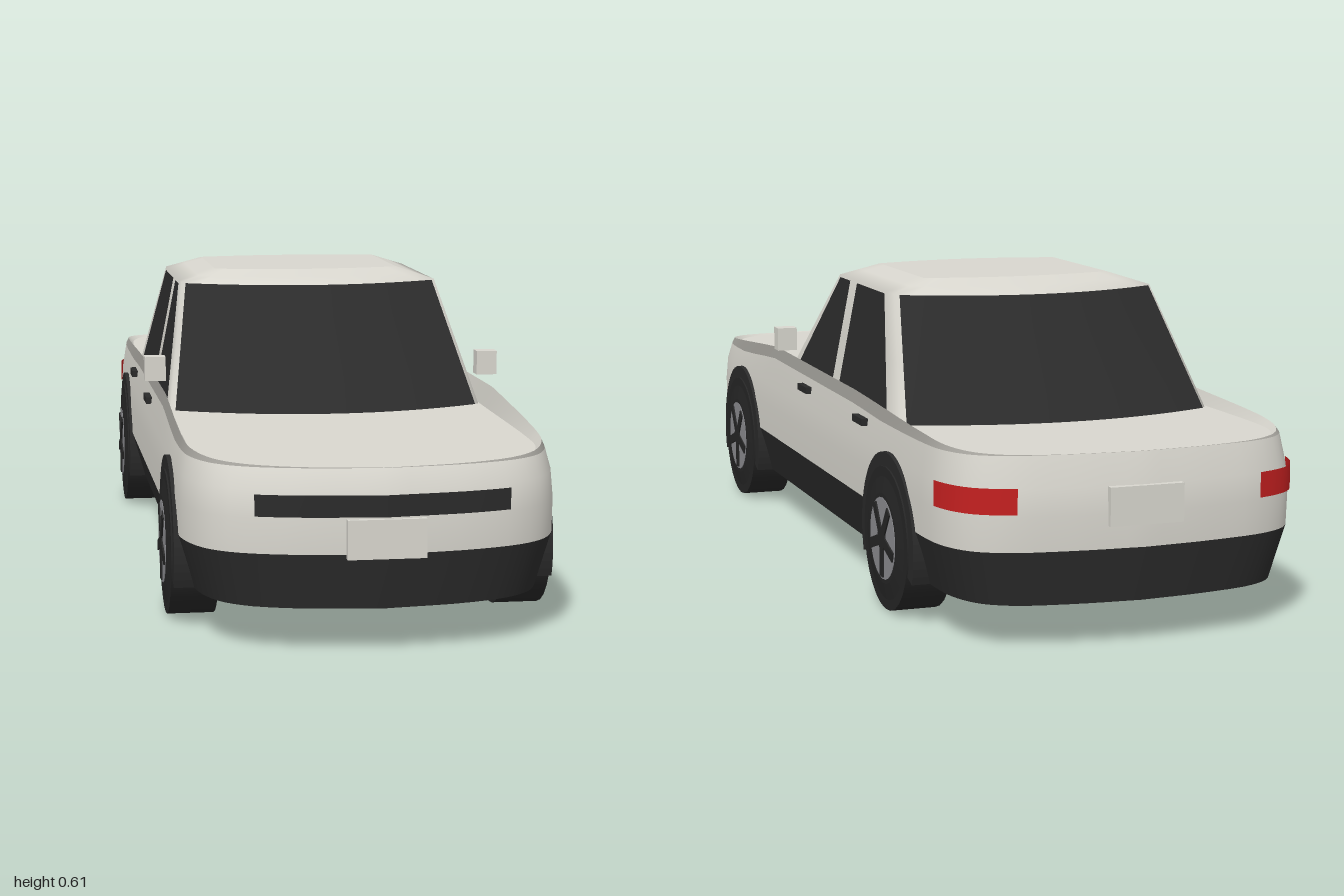
import * as THREE from 'three';

const mat = (name, color, side = THREE.FrontSide) => {
  const m = new THREE.MeshStandardMaterial({ color, side });
  m.name = name;
  return m;
};
const V = (x, y, z) => new THREE.Vector3(x, y, z);
const lerp = THREE.MathUtils.lerp;

// Surface through rows of points: each row runs left to right seen from outside, rows go upward
function loft(rows, closed = false) {
  const n = rows[0].length, pos = [], idx = [];
  rows.forEach(r => r.forEach(p => pos.push(p.x, p.y, p.z)));
  for (let i = 0; i < rows.length - 1; i++) {
    for (let j = 0; j < (closed ? n : n - 1); j++) {
      const k = (j + 1) % n, a = i * n + j, b = i * n + k;
      idx.push(a, b, b + n, a, b + n, a + n);
    }
  }
  const g = new THREE.BufferGeometry();
  g.setAttribute('position', new THREE.Float32BufferAttribute(pos, 3));
  g.setIndex(idx);
  g.computeVertexNormals();
  return g;
}

// Flat fan closing a ring, facing up or down
function cap(ring, up = true) {
  const c = ring.reduce((s, p) => s.add(p), V(0, 0, 0)).divideScalar(ring.length);
  return loft(up ? [ring, ring.map(() => c)] : [ring.map(() => c), ring], true);
}

const grid = (f, nu, nv) => Array.from({ length: nv + 1 }, (_, j) =>
  Array.from({ length: nu + 1 }, (_, i) => f(i / nu, j / nv)));
const mirrorRows = rows => rows.map(r => r.map(p => V(-p.x, p.y, p.z)).reverse());

// Half plan outline of the body, from nose centre along the left side to tail centre
const plan = new THREE.CatmullRomCurve3([
  [0, 1], [0.5, 0.975], [0.78, 0.935], [0.91, 0.885], [0.98, 0.815], [1, 0.73], [1, 0.35], [1, 0],
  [1, -0.4], [1, -0.78], [0.975, -0.86], [0.9, -0.92], [0.74, -0.962], [0.4, -0.988], [0, -1],
].map(([x, z]) => V(x, 0, z))).getPoints(56);

// Closed outline at half width w and half lengths zf, zr; y is a number or a rule of z
function outline(y, w, zf, zr) {
  const half = plan.map(p => {
    const z = p.z * (p.z > 0 ? zf : zr);
    return V(p.x * w, typeof y === 'number' ? y : y(z), z);
  });
  return [...half, ...half.slice(1, -1).reverse().map(p => V(-p.x, p.y, p.z))];
}

const deckY = z => lerp(0.358, 0.337, (z + 0.97) / 1.94);
const beltLine = [[-0.97, 0.357], [-0.75, 0.371], [-0.3, 0.385], [0.35, 0.389], [0.97, 0.337]];
function beltY(z) {
  for (let i = 1; i < beltLine.length; i++) {
    const [z0, y0] = beltLine[i - 1], [z1, y1] = beltLine[i];
    if (z <= z1) return Math.max(deckY(z), lerp(y0, y1, Math.max(0, (z - z0) / (z1 - z0))));
  }
  return 0.337;
}
const wallY = z => Math.max(deckY(z), beltY(z) - 0.026);

// Cabin section: front and rear edges bow outward from the side corners
const base = { y: 0.335, w: 0.326, fc: 0.382, fs: 0.287, rc: -0.632, rs: -0.557 };
const eave = { y: 0.585, w: 0.277, fc: 0.115, fs: 0.03, rc: -0.44, rs: -0.36 };
const crown = { y: 0.61, w: 0.2, fc: 0.025, fs: -0.01, rc: -0.345, rs: -0.315 };
const mix = (a, b, t) => Object.fromEntries(Object.keys(a).map(k => [k, lerp(a[k], b[k], t)]));
const frontPt = (s, u, d = 0) => V(u * s.w, s.y + d * 0.6, lerp(s.fc, s.fs, u * u) + d);
const rearPt = (s, u, d = 0) => V(-u * s.w, s.y + d * 0.6, lerp(s.rc, s.rs, u * u) - d);
function cabinRing(s) {
  const r = [];
  for (let i = 0; i <= 16; i++) r.push(frontPt(s, i / 8 - 1));
  for (let i = 1; i < 8; i++) r.push(V(s.w, s.y, lerp(s.fs, s.rs, i / 8)));
  for (let i = 0; i <= 16; i++) r.push(rearPt(s, i / 8 - 1));
  for (let i = 1; i < 8; i++) r.push(V(-s.w, s.y, lerp(s.rs, s.fs, i / 8)));
  return r;
}

export function createModel() {
  const car = new THREE.Group();
  car.name = 'car';
  const paint = mat('body paint', 0xd8d6ce);
  const trim = mat('dark lower trim', 0x2a2a2a);
  const glass = mat('dark glass', 0x2b2b2b, THREE.DoubleSide);
  const belt = mat('grey belt line', 0xa09e98, THREE.DoubleSide);
  const rubber = mat('tyre rubber', 0x262626);
  const metal = mat('wheel metal', 0x8c8c90);
  const red = mat('tail light red', 0xc42020, THREE.DoubleSide);
  const add = (name, geo, m, parent = car) => {
    const mesh = new THREE.Mesh(geo, m);
    mesh.name = name;
    parent.add(mesh);
    return mesh;
  };
  const box = (name, m, size, at, parent) =>
    add(name, new THREE.BoxGeometry(...size), m, parent).position.set(...at);

  // Lower body and floor
  const floor = outline(0.083, 0.326, 0.98, 0.975);
  const sill = outline(0.185, 0.355, 0.995, 0.99);
  add('lowerBody', loft([floor, sill], true), trim);
  add('floor', cap(floor, false), trim);

  // Upper body, raised belt line and the flat deck between
  const shoulder = outline(wallY, 0.345, 0.968, 0.972);
  const ridge = outline(beltY, 0.339, 0.966, 0.97);
  const deck = outline(deckY, 0.328, 0.964, 0.968);
  add('upperBody', loft([sill, outline(0.25, 0.356, 0.997, 0.993),
    outline(0.3, 0.353, 0.988, 0.988), shoulder], true), paint);
  add('beltLine', loft([shoulder, ridge], true), belt);
  add('beltInside', loft([ridge, deck], true), paint);
  add('hoodAndTrunk', cap(deck), paint);

  // Cabin shell and roof
  const crownRing = cabinRing(crown);
  add('cabin', loft([base, mix(base, eave, 0.5), eave, mix(eave, crown, 0.5), crown].map(cabinRing), true), paint);
  add('roof', cap(crownRing), paint);

  // Windscreen and rear window
  for (const [name, pt] of [['windscreen', frontPt], ['rearWindow', rearPt]]) {
    add(name, loft(grid((u, v) =>
      pt(mix(base, eave, lerp(0.03, 0.985, v)), lerp(-0.97, 0.97, u), 0.005), 16, 4)), glass);
  }

  // Side windows: [front bottom, front top, rear bottom, rear top] along z
  const sideWindows = [['frontSideWindow', 0.235, 0.01, -0.065, -0.065],
    ['rearSideWindow', -0.115, -0.115, -0.475, -0.31]];
  for (const [name, fb, ft, rb, rt] of sideWindows) {
    const rows = grid((u, v) => {
      const s = mix(base, eave, lerp(0.03, 0.985, v));
      return V(s.w + 0.004, s.y, lerp(lerp(fb, ft, v), lerp(rb, rt, v), u));
    }, 2, 2);
    add(name + 'Left', loft(rows), glass);
    add(name + 'Right', loft(mirrorRows(rows)), glass);
  }

  // Grille strip and wrapped tail lights follow the body outline
  const skin = (y, keep) => outline(y, 0.359, 1.002, 0.997).slice(0, plan.length).filter(keep);
  const band = (y0, y1, keep) => [skin(y0, keep), skin(y1, keep)];
  const grille = band(0.254, 0.294, p => p.z > 0 && p.x < 0.25);
  add('grilleLeft', loft(grille), glass);
  add('grilleRight', loft(mirrorRows(grille)), glass);
  const lamp = band(0.255, 0.303, p => p.z < -0.83 && p.x > 0.23);
  add('tailLightLeft', loft(lamp), red);
  add('tailLightRight', loft(mirrorRows(lamp)), red);

  // Number plates
  box('frontPlate', paint, [0.144, 0.072, 0.014], [0, 0.214, 0.995]);
  box('rearPlate', paint, [0.144, 0.072, 0.014], [0, 0.264, -0.991]);

  // Mirrors and door handles
  for (const [side, s] of [['Left', 1], ['Right', -1]]) {
    box('mirror' + side, paint, [0.043, 0.05, 0.034], [s * 0.351, 0.425, 0.218]);
    box('frontHandle' + side, trim, [0.016, 0.014, 0.07], [s * 0.352, 0.337, 0.05]);
    box('rearHandle' + side, trim, [0.016, 0.014, 0.07], [s * 0.352, 0.337, -0.372]);
  }

  // Wheels with arches, built facing +x
  const archShape = new THREE.Shape();
  archShape.absarc(0, 0, 0.167, -0.35, Math.PI + 0.35, false);
  archShape.absarc(0, 0, 0.135, Math.PI + 0.35, -0.35, true);
  const archGeo = new THREE.ExtrudeGeometry(archShape, { depth: 0.062, bevelEnabled: false, curveSegments: 20 })
    .rotateY(Math.PI / 2).translate(0.3, 0, 0);
  const disc = (rOut, rIn, x0, x1) => new THREE.CylinderGeometry(rOut, rIn, x1 - x0, 28)
    .rotateZ(-Math.PI / 2).translate((x0 + x1) / 2, 0, 0);
  for (const [end, z] of [['front', 0.607], ['rear', -0.578]]) {
    for (const [side, turn] of [['Left', 0], ['Right', Math.PI]]) {
      const wheel = new THREE.Group();
      wheel.name = end + 'Wheel' + side;
      wheel.position.set(0, 0.14, z);
      wheel.rotation.y = turn;
      car.add(wheel);
      add('wheelArch', archGeo, trim, wheel);
      add('tyre', disc(0.14, 0.14, 0.275, 0.365), rubber, wheel);
      add('tyreShoulder', disc(0.088, 0.12, 0.365, 0.37), rubber, wheel);
      add('rim', disc(0.08, 0.08, 0.36, 0.371), metal, wheel);
      add('hub', disc(0.022, 0.022, 0.365, 0.374), rubber, wheel);
      for (let i = 0; i < 5; i++) {
        const spoke = new THREE.BoxGeometry(0.008, 0.07, 0.02).translate(0.37, -0.04, 0)
          .rotateX(i * Math.PI * 0.4);
        add('spoke', spoke, rubber, wheel);
      }
    }
  }
  return car;
}
